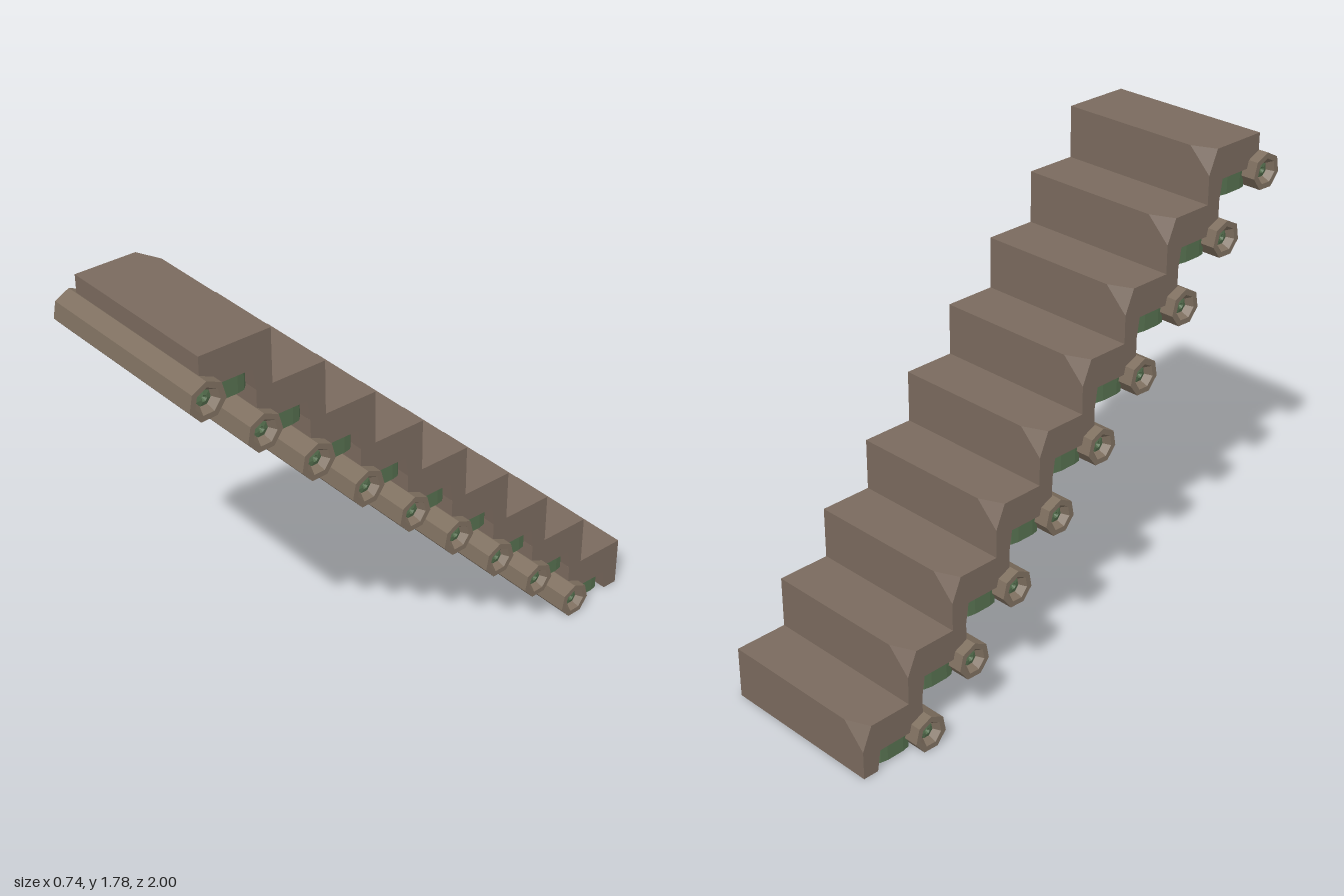
import * as THREE from 'three';
import { ConvexGeometry } from 'three/addons/geometries/ConvexGeometry.js';

const STEPS = 9, RISE = 0.1975, RUN = 0.2075;
const HALF = 0.33, DEPTH = 0.27, HEIGHT = 0.2, LEDGE = 0.08;

const stone = new THREE.MeshStandardMaterial({ color: 0x7a6a5e });
stone.name = 'brown stone';
const wood = new THREE.MeshStandardMaterial({ color: 0x7f7060 });
wood.name = 'nosing brown';
const moss = new THREE.MeshStandardMaterial({ color: 0x56704f });
moss.name = 'moss green';

const hull = (points) => new ConvexGeometry(points.map((p) => new THREE.Vector3(...p)));

// Seven-sided faceted bar along x from a [radius, position] profile
function bar(profile) {
  const geo = new THREE.LatheGeometry(
    profile.map(([r, y]) => new THREE.Vector2(r, y)), 7, THREE.MathUtils.degToRad(-15));
  const flat = geo.rotateZ(Math.PI / 2).toNonIndexed();
  flat.computeVertexNormals();
  return flat;
}

// Tread with one chipped rear corner
function treadGeometry() {
  const points = [];
  for (const x of [-HALF, HALF]) {
    points.push([x, LEDGE, 0], [x, HEIGHT, 0], [x, LEDGE, -DEPTH]);
  }
  points.push([HALF, HEIGHT, -DEPTH]);
  points.push([-HALF + 0.09, HEIGHT, -DEPTH]);
  points.push([-HALF, HEIGHT, -DEPTH + 0.04]);
  points.push([-HALF, HEIGHT - 0.09, -DEPTH]);
  return hull(points);
}

// Lip hanging below the back of the tread
function lipGeometry() {
  const points = [];
  for (const x of [-HALF, HALF]) {
    points.push([x, LEDGE, -0.195], [x, LEDGE, -DEPTH], [x, 0, -DEPTH], [x, 0, -0.208]);
  }
  return hull(points);
}

// Slab with rounded corners tucked under the tread
function slabGeometry() {
  const w = 0.315, z0 = 0.03, z1 = 0.2, r = 0.05;
  const s = new THREE.Shape();
  s.moveTo(-w + r, z0);
  s.lineTo(w - r, z0);
  s.quadraticCurveTo(w, z0, w, z0 + r);
  s.lineTo(w, z1 - r);
  s.quadraticCurveTo(w, z1, w - r, z1);
  s.lineTo(-w + r, z1);
  s.quadraticCurveTo(-w, z1, -w, z1 - r);
  s.lineTo(-w, z0 + r);
  s.quadraticCurveTo(-w, z0, -w + r, z0);
  const geo = new THREE.ExtrudeGeometry(s, { depth: 0.074, bevelEnabled: false, curveSegments: 3 });
  return geo.rotateX(-Math.PI / 2).translate(0, 0.006, 0);
}

export function createModel() {
  const group = new THREE.Group();
  group.name = 'staircase';

  const parts = [
    ['tread', treadGeometry(), stone, 0],
    ['rearLip', lipGeometry(), stone, 0],
    ['underSlab', slabGeometry(), moss, 0],
    // Round nosing with funnel-shaped ends
    ['nosing', bar([[0.028, -0.34], [0.048, -0.37], [0.07, -0.37],
      [0.07, 0.37], [0.048, 0.37], [0.028, 0.34]]), wood, 0.065],
    // Core showing inside the nosing ends
    ['nosingCore', bar([[0, -0.335], [0.012, -0.35], [0.029, -0.345],
      [0.029, 0.345], [0.012, 0.35], [0, 0.335]]), moss, 0.065],
  ];

  for (let i = 0; i < STEPS; i++) {
    const step = new THREE.Group();
    step.name = 'step' + (i + 1);
    for (const [name, geometry, material, y] of parts) {
      const mesh = new THREE.Mesh(geometry, material);
      mesh.name = name;
      mesh.position.y = y;
      step.add(mesh);
    }
    step.position.set(0, i * RISE, -0.73 + i * RUN);
    group.add(step);
  }
  return group;
}
